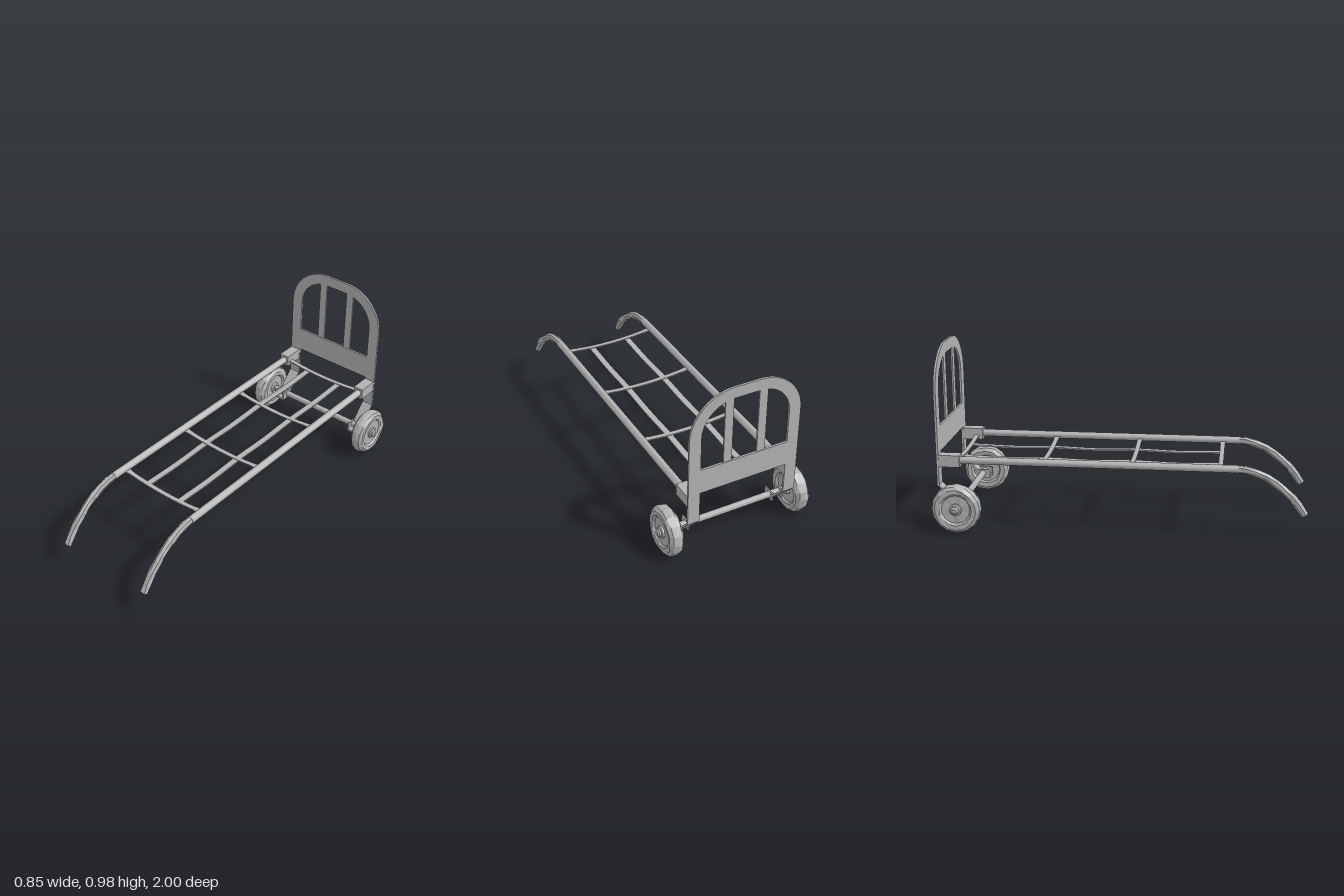
import * as THREE from 'three';
import { toCreasedNormals, mergeVertices } from 'three/addons/utils/BufferGeometryUtils.js';

const steel = new THREE.MeshStandardMaterial({ color: 0xb2b2b2, side: THREE.DoubleSide });
steel.name = 'greySteel';

const CX = 0.0075;          // centre line of the frame
const AXLE_Y = 0.14, AXLE_Z = -0.862;

export function createModel() {
  const root = new THREE.Group();
  root.name = 'handTruck';

  const add = (name, geo, x = 0, y = 0, z = 0, crease = 0.6) => {
    const mesh = new THREE.Mesh(toCreasedNormals(geo, crease), steel);
    mesh.name = name;
    mesh.position.set(x, y, z);
    root.add(mesh);
    return mesh;
  };
  const box = (name, w, h, d, x, y, z) => add(name, new THREE.BoxGeometry(w, h, d), x, y, z);

  // Deterministic vertex wobble for the faceted parts
  const wobble = (geo, amount) => {
    geo.deleteAttribute('uv');
    geo.deleteAttribute('normal');
    const g = mergeVertices(geo, 1e-4), p = g.attributes.position;
    let seed = 7;
    const rnd = () => ((seed = (seed * 16807) % 2147483647) / 2147483647 - 0.5) * 2 * amount;
    for (let i = 0; i < p.count; i++) {
      p.setXYZ(i, p.getX(i) + rnd(), p.getY(i) + rnd(), p.getZ(i) + rnd());
    }
    return g;
  };

  // Backrest: arched flat frame
  const arch = (path, hw, bottom, spring, r) => {
    path.moveTo(-hw, bottom);
    path.lineTo(hw, bottom);
    path.lineTo(hw, spring);
    path.absarc(hw - r, spring, r, 0, Math.PI / 2, false);
    path.absarc(-hw + r, spring, r, Math.PI / 2, Math.PI, false);
    path.lineTo(-hw, bottom);
    return path;
  };
  const frame = new THREE.Shape();
  frame.moveTo(0.3075, 0.245);
  frame.lineTo(0.3075, 0.745);
  frame.absarc(0.0675, 0.745, 0.24, 0, Math.PI / 2, false);
  frame.absarc(-0.0675, 0.745, 0.24, Math.PI / 2, Math.PI, false);
  frame.lineTo(-0.3075, 0.245);
  frame.lineTo(-0.2425, 0.245);
  frame.lineTo(-0.2425, 0.42);
  frame.lineTo(0.2425, 0.42);
  frame.lineTo(0.2425, 0.245);
  frame.closePath();
  frame.holes.push(arch(new THREE.Path(), 0.2425, 0.56, 0.748, 0.175));
  add('backrestFrame', new THREE.ExtrudeGeometry(frame, { depth: 0.012, bevelEnabled: false, curveSegments: 10 }),
    CX, 0, -0.982);
  for (const x of [-0.0905, 0.0955]) {
    box('backrestSlat', 0.046, 0.38, 0.009, CX + x - 0.0005, 0.742, -0.976);
  }

  // Side parts, mirrored about the frame's centre line
  for (const s of [-1, 1]) {
    const rx = CX + s * 0.275;

    // Bent foot running forward under the axle
    const foot = new THREE.Shape();
    foot.moveTo(-0.982, 0.245);
    foot.lineTo(-0.97, 0.245);
    foot.lineTo(-0.865, 0.13);
    foot.lineTo(-0.82, 0.122);
    foot.lineTo(-0.82, 0.11);
    foot.lineTo(-0.87, 0.115);
    foot.closePath();
    const footGeo = new THREE.ExtrudeGeometry(foot, { depth: 0.065, bevelEnabled: false });
    footGeo.rotateY(-Math.PI / 2);      // profile x becomes z, width runs to -x
    add('axleFoot', footGeo, rx + 0.0325, 0, 0);
    for (const e of [-1, 1]) {
      box('axleCheek', 0.008, 0.05, 0.07, rx + e * 0.0285, 0.137, -0.855);
    }

    // Square sleeve joining rail and backrest
    box('railSleeve', 0.06, 0.065, 0.115, rx, 0.378, -0.914);

    // Straight rail
    const rail = new THREE.CylinderGeometry(0.021, 0.021, 1.51, 12);
    rail.rotateX(Math.PI / 2);
    add('sideRail', rail, rx, 0.379, -0.125, 0.7);

    // Faceted handle curving down at the front
    const curve = new THREE.CatmullRomCurve3([
      [0.38, 0.61], [0.372, 0.69], [0.344, 0.77], [0.29, 0.85], [0.22, 0.925], [0.137, 0.984],
    ].map(([y, z]) => new THREE.Vector3(0, y, z)));
    add('handle', wobble(new THREE.TubeGeometry(curve, 8, 0.0215, 7), 0.003), rx, 0, 0, 0.1);
    const cap = new THREE.CircleGeometry(0.02, 7);
    cap.rotateX(Math.PI * 0.3);
    add('handleEnd', cap, rx, 0.137, 0.984);
  }

  // Sagging cross straps
  for (const z of [-0.89, -0.42, 0.06, 0.535]) {
    const strap = new THREE.BoxGeometry(0.54, 0.007, 0.026, 10, 1, 1);
    const p = strap.attributes.position;
    for (let i = 0; i < p.count; i++) {
      const t = p.getX(i) / 0.27;
      p.setY(i, p.getY(i) + 0.352 + 0.02 * t * t);
      if (Math.abs(t) > 0.9) p.setZ(i, p.getZ(i) * 1.4);   // flared welded ends
    }
    add('crossStrap', strap, CX, 0, z);
  }

  // Lengthwise straps, dipping slightly between the cross straps
  for (const x of [-0.105, 0.12]) {
    const strap = new THREE.BoxGeometry(0.034, 0.008, 1.43, 1, 1, 18);
    const p = strap.attributes.position;
    for (let i = 0; i < p.count; i++) {
      const z = p.getZ(i) - 0.17;
      p.setY(i, p.getY(i) + 0.352 - 0.006 * Math.sin((z + 0.89) / 0.475 * Math.PI) ** 2);
    }
    add('lengthStrap', strap, x, 0, -0.17);
  }

  // Axle
  const axle = new THREE.CylinderGeometry(0.018, 0.018, 0.8, 12);
  axle.rotateZ(Math.PI / 2);
  add('axle', axle, 0, AXLE_Y, AXLE_Z, 0.7);

  // Wheels: rounded tyre, recessed disc and stepped hub
  const tyre = [
    [0.03, -0.026], [0.078, -0.026], [0.088, -0.038], [0.112, -0.039], [0.129, -0.025],
    [0.134, 0], [0.129, 0.025], [0.112, 0.039], [0.088, 0.038], [0.078, 0.026], [0.03, 0.026],
  ].map(([r, y]) => new THREE.Vector2(r, y));
  const hub = [
    [0, -0.04], [0.03, -0.04], [0.034, -0.02], [0.034, 0.036], [0.024, 0.04],
    [0.022, 0.048], [0.012, 0.056], [0, 0.056],
  ].map(([r, y]) => new THREE.Vector2(r, y));
  for (const s of [-1, 1]) {
    const turn = -s * Math.PI / 2;
    const tyreGeo = wobble(new THREE.LatheGeometry(tyre, 16), 0.0025);
    tyreGeo.rotateZ(turn);
    add('wheel', tyreGeo, s * 0.367, AXLE_Y, AXLE_Z, 0.1);
    const hubGeo = new THREE.LatheGeometry(hub, 12);
    hubGeo.rotateZ(turn);
    add('wheelHub', hubGeo, s * 0.367, AXLE_Y, AXLE_Z, 0.5);
  }

  return root;
}
